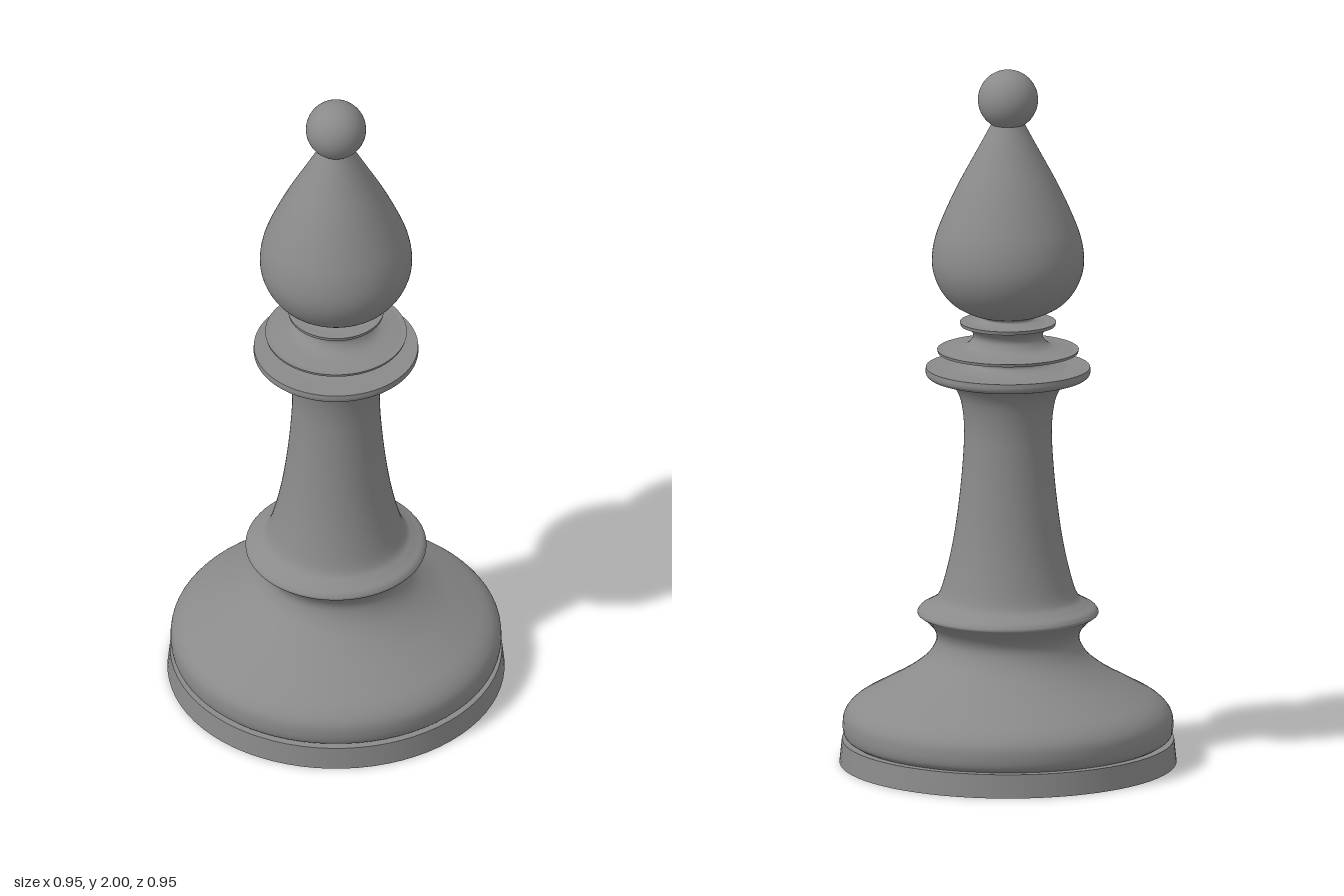
import * as THREE from 'three';

const SEGMENTS = 72;

export function createModel() {
  const group = new THREE.Group();
  const material = new THREE.MeshStandardMaterial({ color: 0x8a8a8a, side: THREE.DoubleSide });

  function add(name, geometry) {
    const mesh = new THREE.Mesh(geometry, material);
    mesh.name = name;
    group.add(mesh);
    return mesh;
  }

  // Turned part whose outline is a smooth curve through [radius, height] points
  function turned(name, points) {
    const curve = new THREE.SplineCurve(points.map(([r, y]) => new THREE.Vector2(r, y)));
    return add(name, new THREE.LatheGeometry(curve.getPoints(points.length * 5), SEGMENTS));
  }

  // Crisp-edged disc between two heights
  function disc(name, bottomRadius, topRadius, y0, y1) {
    const mesh = add(name, new THREE.CylinderGeometry(topRadius, bottomRadius, y1 - y0, SEGMENTS));
    mesh.position.y = (y0 + y1) / 2;
    return mesh;
  }

  // Foot and swelling base, sweeping up into the rounded lower collar
  disc('footPlate', 0.476, 0.469, 0, 0.067);
  turned('base', [
    [0.445, 0.067], [0.462, 0.08], [0.467, 0.11], [0.46, 0.145], [0.43, 0.178],
    [0.37, 0.213], [0.29, 0.258], [0.23, 0.305], [0.203, 0.35], [0.208, 0.385],
    [0.237, 0.417], [0.254, 0.429], [0.255, 0.437],
  ]);

  // Collar shoulder, tapered stem and the flange it flares into
  turned('stem', [
    [0.255, 0.437], [0.246, 0.448], [0.222, 0.461], [0.197, 0.482], [0.177, 0.54], [0.155, 0.64],
    [0.138, 0.76], [0.127, 0.88], [0.124, 0.97], [0.132, 1.04], [0.148, 1.08], [0.173, 1.104],
    [0.215, 1.111], [0.23, 1.12], [0.233, 1.13],
  ]);
  disc('flangeTop', 0.233, 0.232, 1.13, 1.142);

  // Neck with two thin spreading discs
  turned('lowerNeck', [[0.165, 1.142], [0.122, 1.15], [0.108, 1.163], [0.125, 1.178], [0.18, 1.186]]);
  disc('wideDisc', 0.198, 0.2, 1.185, 1.193);
  turned('upperNeck', [[0.185, 1.193], [0.125, 1.203], [0.1, 1.225], [0.102, 1.245], [0.122, 1.263]]);
  disc('narrowDisc', 0.134, 0.136, 1.263, 1.273);
  turned('headNeck', [[0.11, 1.272], [0.08, 1.278], [0.072, 1.286], [0.085, 1.297]]);

  // Teardrop head
  turned('head', [
    [0, 1.283], [0.06, 1.287], [0.115, 1.303], [0.165, 1.335], [0.2, 1.385], [0.215, 1.445],
    [0.206, 1.515], [0.178, 1.59], [0.138, 1.675], [0.095, 1.755], [0.06, 1.82], [0.045, 1.85],
  ]);

  // Ball finial
  const finial = add('finial', new THREE.SphereGeometry(0.085, 48, 32));
  finial.position.y = 1.915;

  return group;
}
